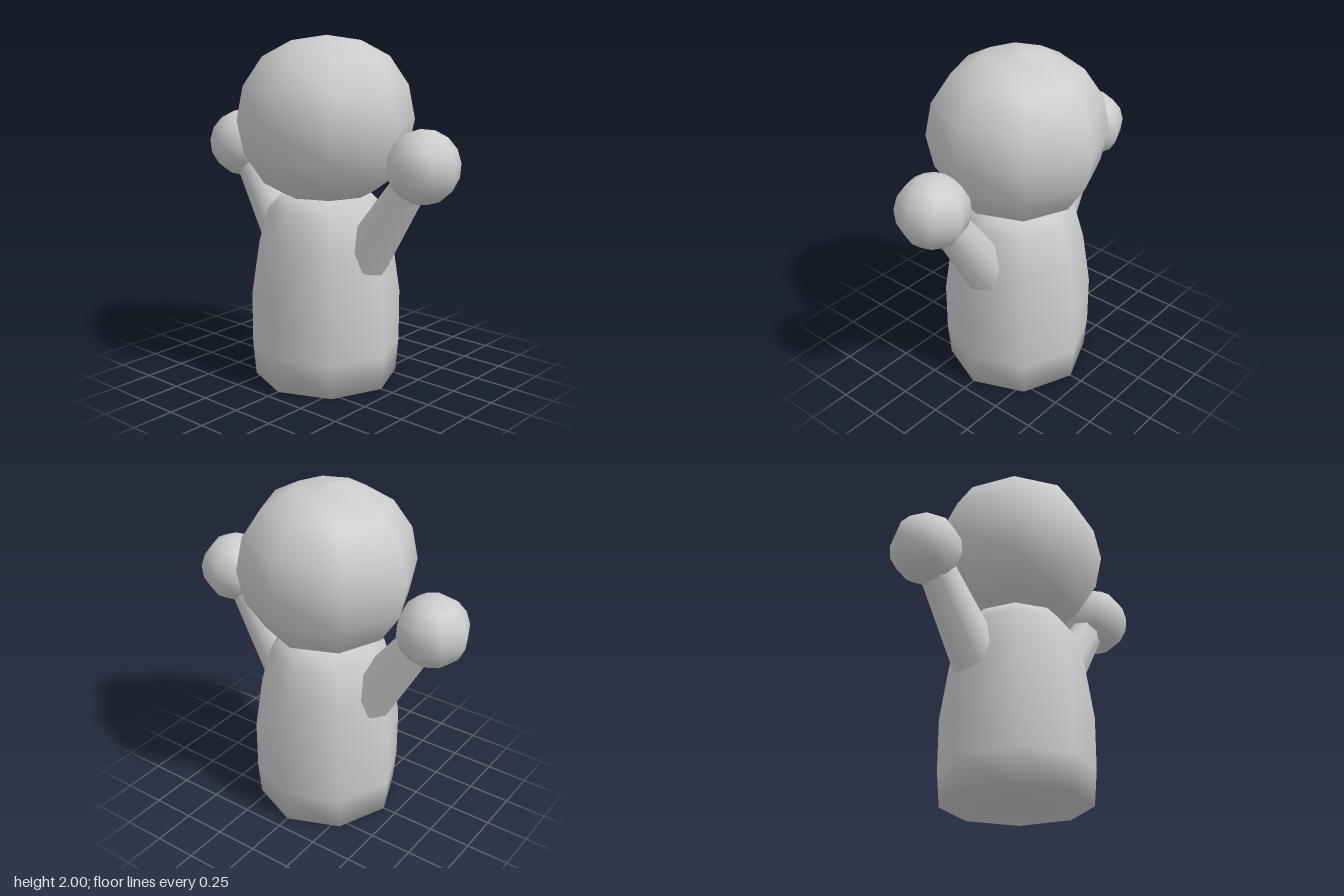
import * as THREE from 'three';

const SIDES = 8;
const material = new THREE.MeshStandardMaterial({ color: 0xcccccc });

function add(parent, name, geometry) {
  const mesh = new THREE.Mesh(geometry, material);
  mesh.name = name;
  parent.add(mesh);
  return mesh;
}

// Smooth eight-sided solid of revolution, profile given from bottom to top
function turned(profile) {
  return new THREE.LatheGeometry(profile.map(([r, y]) => new THREE.Vector2(r, y)), SIDES);
}

// Tapered limb between two points
function limb(parent, name, start, end, r0, r1) {
  const axis = end.clone().sub(start);
  const mesh = add(parent, name, new THREE.CylinderGeometry(r1, r0, axis.length(), SIDES));
  mesh.position.copy(start).add(end).multiplyScalar(0.5);
  mesh.quaternion.setFromUnitVectors(new THREE.Vector3(0, 1, 0), axis.normalize());
}

export function createModel() {
  const model = new THREE.Group();
  model.name = 'figure';

  // Bell-shaped body, closed underneath
  add(model, 'body', turned([
    [0, 0], [0.42, 0], [0.437, 0.2], [0.437, 0.5],
    [0.39, 0.82], [0.335, 1.02], [0.25, 1.11], [0, 1.15],
  ]));

  // Large round head, slightly flattened at the crown
  add(model, 'head', turned([
    [0, 1.04], [0.196, 1.07], [0.36, 1.162], [0.471, 1.331], [0.51, 1.525],
    [0.471, 1.719], [0.36, 1.883], [0.196, 1.971], [0, 2],
  ]));

  // Raised arms with ball hands, one to the front and one to the back
  for (const [side, turn] of [['front', 0], ['back', Math.PI]]) {
    const arm = new THREE.Group();
    arm.name = side + 'Arm';
    limb(arm, side + 'ArmLimb', new THREE.Vector3(0, 0.76, 0.287),
      new THREE.Vector3(0, 1.26, 0.625), 0.148, 0.1);
    const hand = add(arm, side + 'Hand', new THREE.SphereGeometry(0.203, SIDES, SIDES));
    hand.position.set(0, 1.328, 0.683);
    hand.rotation.x = -0.13;
    arm.rotation.y = turn;
    model.add(arm);
  }
  return model;
}
